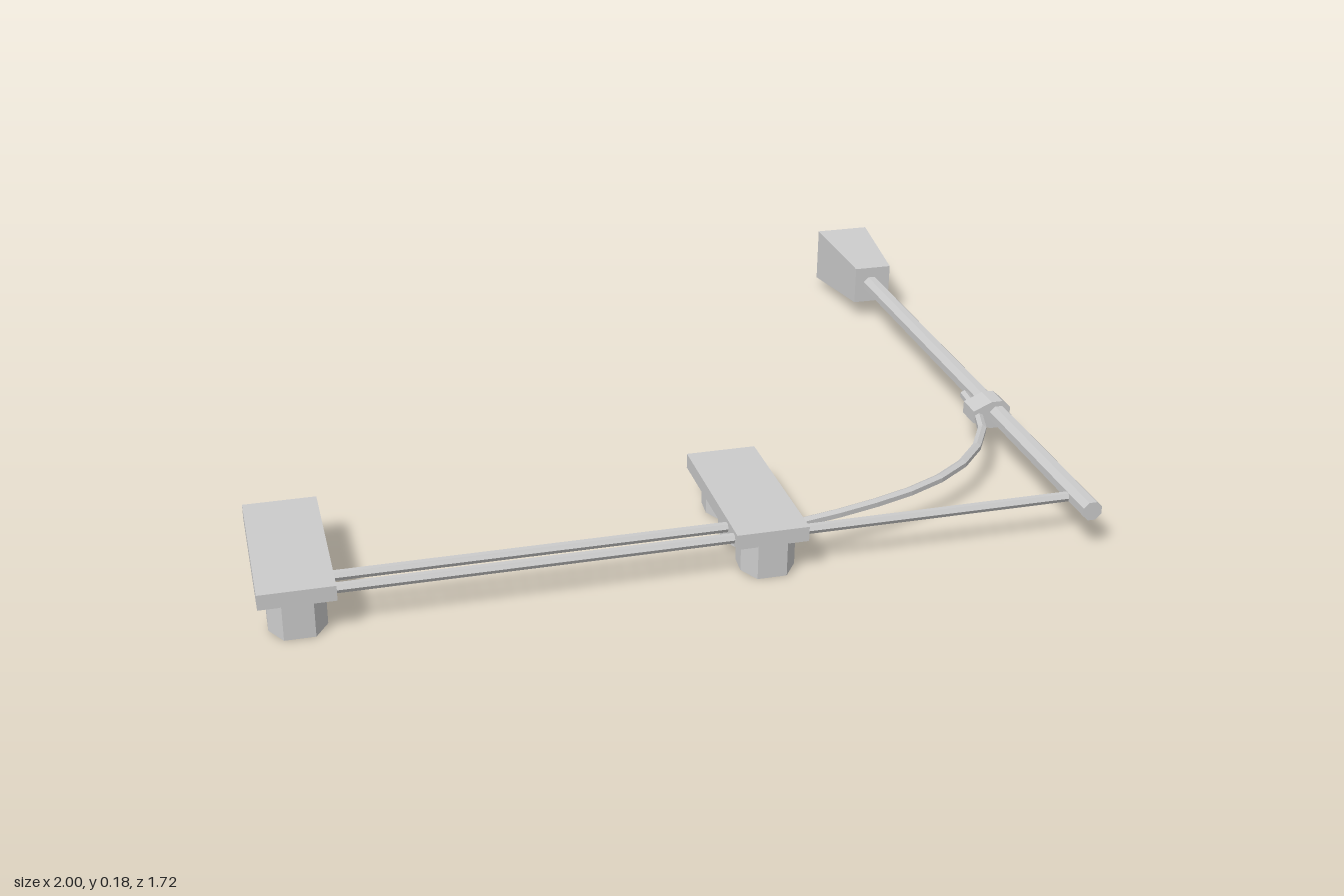
import * as THREE from 'three';

const AXIS_Y = 0.104, POLE_X = 0.92;
const mat = new THREE.MeshStandardMaterial({ color: 0xcccccc, flatShading: true, side: THREE.DoubleSide });

function add(parent, name, geometry, x = 0, y = 0, z = 0) {
  const mesh = new THREE.Mesh(geometry, mat);
  mesh.name = name;
  mesh.position.set(x, y, z);
  parent.add(mesh);
  return mesh;
}

// Straight rod along x
function rod(parent, name, x0, x1, z) {
  add(parent, name, new THREE.CylinderGeometry(0.012, 0.012, x1 - x0, 6).rotateZ(Math.PI / 2),
    (x0 + x1) / 2, AXIS_Y - 0.002, z);
}

// Open hood wall: follows an arch in x/z, with a slanted lower rim
function hoodGeometry() {
  const arch = [[0.065, -0.012], [0.065, 0.027], [0.035, 0.064], [-0.035, 0.064], [-0.065, 0.027], [-0.065, -0.012]];
  const pos = [], index = [];
  arch.forEach(([x, z], i) => {
    pos.push(x, 0.087, z, x, 0.002 + (0.064 - z) * 0.2, z);
    if (i) {
      const a = 2 * i - 2;
      index.push(a, a + 2, a + 1, a + 1, a + 2, a + 3);
    }
  });
  const g = new THREE.BufferGeometry();
  g.setAttribute('position', new THREE.Float32BufferAttribute(pos, 3));
  g.setIndex(index);
  g.computeVertexNormals();
  return g;
}

// Back plate with three hooded lamps
function signalHead(x) {
  const head = new THREE.Group();
  head.name = 'signalHead';
  head.position.x = x;
  add(head, 'backPlate', new THREE.BoxGeometry(0.172, 0.037, 0.418), 0, 0.1035, 0.592);
  for (let i = 0; i < 3; i++) {
    const z = 0.738 - i * 0.141;
    add(head, 'lens', new THREE.CylinderGeometry(0.05, 0.05, 0.018, 8).rotateY(Math.PI / 8), 0, 0.078, z);
    add(head, 'hood', hoodGeometry(), 0, 0, z);
  }
  return head;
}

export function createModel() {
  const model = new THREE.Group();
  model.name = 'signalPole';

  // Pole lying along z
  add(model, 'pole', new THREE.CylinderGeometry(0.025, 0.025, 1.46, 8).rotateX(Math.PI / 2).rotateZ(Math.PI / 8),
    POLE_X, AXIS_Y, 0.13);

  // Hollow flared foot, open at its wide end, with a flat top plate
  const s = Math.SQRT2;
  add(model, 'foot', new THREE.CylinderGeometry(0.053 * s, 0.076 * s, 0.272, 4, 1, true)
    .rotateY(Math.PI / 4).rotateX(Math.PI / 2), POLE_X + 0.003, AXIS_Y, -0.724);
  add(model, 'footTop', new THREE.PlaneGeometry(0.106, 0.106), POLE_X + 0.003, AXIS_Y, -0.588);

  // Two straight arm rods
  rod(model, 'longRod', -0.9, 0.91, 0.775);
  rod(model, 'shortRod', -0.9, 0.17, 0.722);

  // Curved brace from the inner head to the pole
  const path = new THREE.CatmullRomCurve3([
    [0.14, 0.755], [0.25, 0.742], [0.4, 0.708], [0.55, 0.66], [0.68, 0.592],
    [0.77, 0.512], [0.84, 0.41], [0.876, 0.3], [0.886, 0.19],
  ].map(([x, z]) => new THREE.Vector3(x, AXIS_Y - 0.002, z)));
  add(model, 'curvedBrace', new THREE.TubeGeometry(path, 10, 0.012, 6));
  add(model, 'braceEnd', new THREE.CircleGeometry(0.012, 6).rotateY(Math.PI), 0.886, AXIS_Y - 0.002, 0.19);

  // Clamp wrapped around pole and brace
  const outline = new THREE.Shape([
    [0.952, -0.018], [0.952, 0.018], [0.93, 0.037], [0.9, 0.037],
    [0.852, 0.016], [0.852, -0.016], [0.9, -0.037], [0.93, -0.037],
  ].map(([x, y]) => new THREE.Vector2(x, y)));
  add(model, 'clamp', new THREE.ExtrudeGeometry(outline, { depth: 0.064, bevelEnabled: false }), 0, AXIS_Y, 0.264);

  // Signal heads
  for (const x of [-0.914, 0.16]) model.add(signalHead(x));
  return model;
}
